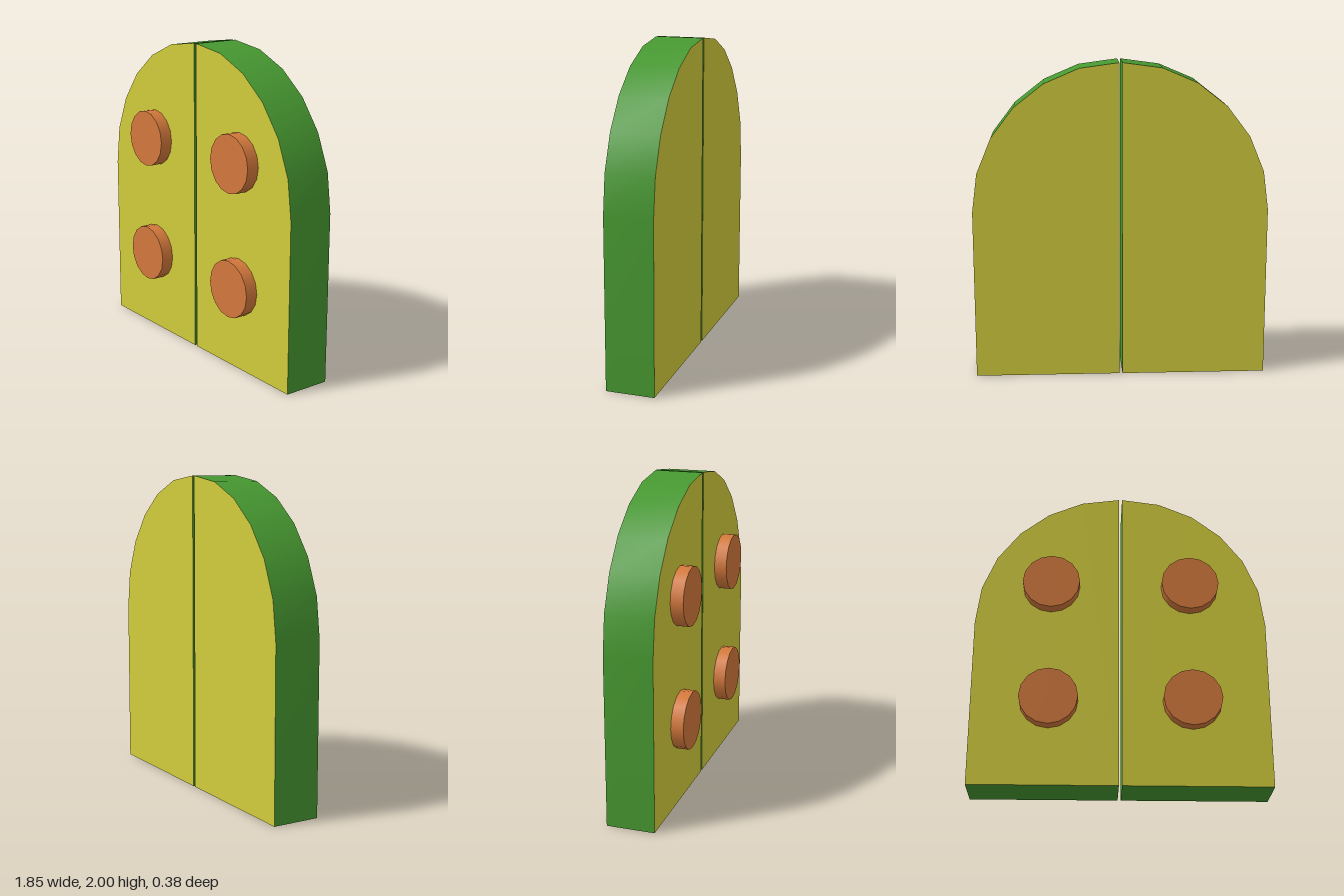
import * as THREE from 'three';
import { toCreasedNormals } from 'three/addons/utils/BufferGeometryUtils.js';

const BACK = -0.19, FRONT = 0.115, KNOB_FRONT = 0.195;

function material(name, color) {
  const m = new THREE.MeshStandardMaterial({ color });
  m.name = name;
  return m;
}

// Half of an arched door; side is +1 (left, +x) or -1 (right, -x)
function leafGeometry(side) {
  const inner = 0.01 * side, outer = 0.927 * side;
  const shape = new THREE.Shape();
  shape.moveTo(inner, 0);
  shape.lineTo(outer, 0);
  shape.lineTo(outer, 1.075);
  shape.bezierCurveTo(outer, 1.585, 0.52 * side, 2, inner, 2);
  shape.closePath();
  const geo = new THREE.ExtrudeGeometry(shape, {
    depth: FRONT - BACK, bevelEnabled: false, curveSegments: 6,
  });
  geo.translate(0, 0, BACK);
  return toCreasedNormals(geo, 0.5);
}

export function createModel() {
  const face = material('yellow face', 0xd2cd3c);
  const edge = material('green edge', 0x479931);
  const copper = material('orange knob', 0xd4793c);

  const model = new THREE.Group();
  model.name = 'archedDoubleDoor';

  const knobGeo = new THREE.CylinderGeometry(0.183, 0.183, KNOB_FRONT - FRONT, 16);
  knobGeo.rotateX(Math.PI / 2);

  for (const side of [1, -1]) {
    const door = new THREE.Group();
    door.name = side > 0 ? 'leftDoor' : 'rightDoor';

    // Yellow faces front and back, green all round the rim
    const leaf = new THREE.Mesh(leafGeometry(side), [face, edge]);
    leaf.name = 'doorLeaf';
    door.add(leaf);

    // Two round knobs on the front
    for (const [name, y] of [['lowerKnob', 0.545], ['upperKnob', 1.335]]) {
      const knob = new THREE.Mesh(knobGeo, copper);
      knob.name = name;
      knob.position.set(0.445 * side, y, (FRONT + KNOB_FRONT) / 2);
      door.add(knob);
    }
    model.add(door);
  }
  return model;
}
